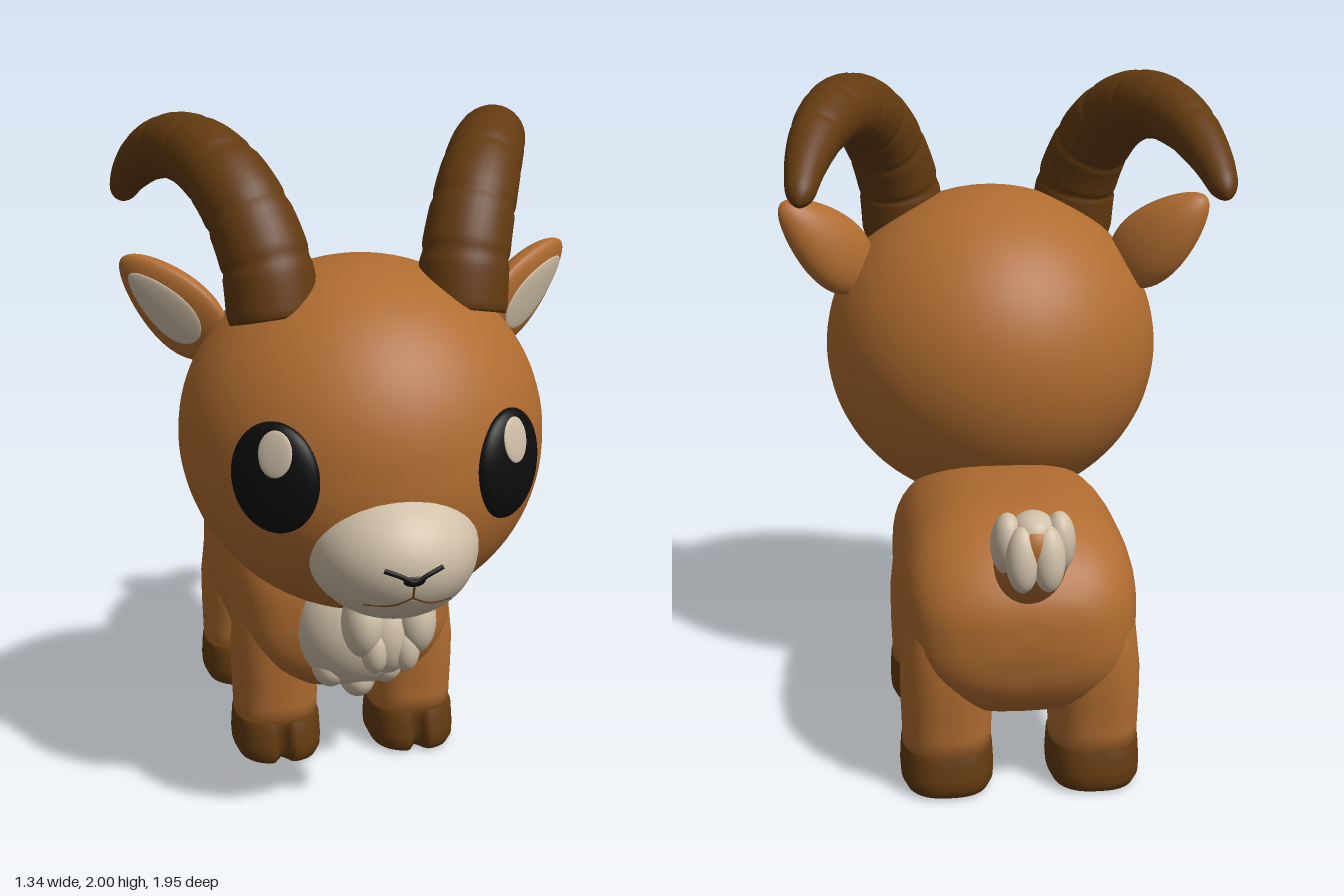
import * as THREE from 'three';

const mat = (name, color) => Object.assign(new THREE.MeshStandardMaterial({ color }), { name });

export function createModel() {
  const fur = mat('fur', 0xb06c30);
  const horn = mat('hornBrown', 0x633a10);
  const cream = mat('cream', 0xd0c0a8);
  const black = mat('black', 0x0d0d0d);

  const model = new THREE.Group();
  model.name = 'goat';

  const add = (name, geo, material, parent = model) => {
    const mesh = new THREE.Mesh(geo, material);
    mesh.name = name;
    parent.add(mesh);
    return mesh;
  };

  // Ellipsoid with centre and radii; tilt turns it about x
  const blob = (name, c, r, material, parent = model, tilt = 0) => {
    const m = add(name, new THREE.SphereGeometry(1, 40, 28).scale(...r), material, parent);
    m.position.set(...c);
    m.rotation.x = tilt;
  };

  // Closed skin over rings of points, each ring turning from x towards z as it climbs
  const skin = (rings) => {
    const n = rings[0].length, pos = [], idx = [];
    rings.forEach((ring) => ring.forEach((p) => pos.push(p.x, p.y, p.z)));
    for (let k = 0; k < rings.length - 1; k++) {
      for (let i = 0; i < n; i++) {
        const a = k * n + i, b = k * n + (i + 1) % n;
        idx.push(a, a + n, b, b, a + n, b + n);
      }
    }
    [0, rings.length - 1].forEach((k) => {
      const c = new THREE.Vector3();
      rings[k].forEach((p) => c.addScaledVector(p, 1 / n));
      const ci = pos.length / 3;
      pos.push(c.x, c.y, c.z);
      for (let i = 0; i < n; i++) {
        const a = k * n + i, b = k * n + (i + 1) % n;
        if (k === 0) idx.push(ci, a, b); else idx.push(ci, b, a);
      }
    });
    const g = new THREE.BufferGeometry();
    g.setAttribute('position', new THREE.Float32BufferAttribute(pos, 3));
    g.setIndex(idx);
    g.computeVertexNormals();
    return g;
  };

  // Superellipse ring at height y, with an optional cleft in front
  const ring = (y, cz, rx, rz, power, segs = 48, cleft = 0) => {
    const pts = [];
    for (let i = 0; i < segs; i++) {
      const a = (i / segs) * Math.PI * 2, c = Math.cos(a), s = Math.sin(a);
      const x = rx * Math.sign(c) * Math.pow(Math.abs(c), 2 / power);
      let z = rz * Math.sign(s) * Math.pow(Math.abs(s), 2 / power);
      if (s > 0) z -= cleft * Math.exp(-Math.pow(x / 0.018, 2));
      pts.push(new THREE.Vector3(x, y, cz + z));
    }
    return pts;
  };

  // Body: z, bottom, top, half width from rump to chest
  const stations = [
    [-0.772, 0.5, 0.53, 0.015], [-0.765, 0.44, 0.59, 0.12], [-0.74, 0.35, 0.65, 0.22],
    [-0.68, 0.27, 0.725, 0.295], [-0.58, 0.225, 0.79, 0.335], [-0.45, 0.21, 0.825, 0.346],
    [-0.2, 0.21, 0.825, 0.346], [0, 0.21, 0.8, 0.342], [0.15, 0.22, 0.76, 0.33],
    [0.25, 0.28, 0.7, 0.275], [0.3, 0.38, 0.64, 0.18], [0.32, 0.48, 0.56, 0.04],
  ];
  const span = new THREE.CatmullRomCurve3(
    stations.map(([z, b, t]) => new THREE.Vector3(z, b, t)), false, 'catmullrom');
  const wide = new THREE.CatmullRomCurve3(
    stations.map(([z, , , w]) => new THREE.Vector3(z, w, 0)), false, 'catmullrom');
  const bodyRings = [];
  for (let i = 0; i <= 66; i++) {
    const p = span.getPoint(i / 66), w = wide.getPoint(i / 66).y;
    bodyRings.push(ring(p.x, -(p.y + p.z) / 2, w, (p.z - p.y) / 2, 2.6));
  }
  add('body', skin(bodyRings).rotateX(Math.PI / 2), fur);

  // Legs with cloven hooves
  for (const [end, z] of [['front', 0.075], ['hind', -0.55]]) {
    for (const s of [-1, 1]) {
      const leg = new THREE.Group();
      leg.name = end + (s > 0 ? 'LeftLeg' : 'RightLeg');
      leg.position.set(s * 0.215, 0, z);
      model.add(leg);
      add('leg', skin([[0.11, 0.128, 0.142], [0.18, 0.13, 0.145], [0.26, 0.133, 0.152],
        [0.36, 0.133, 0.165], [0.48, 0.12, 0.16], [0.58, 0.09, 0.12]]
        .map(([y, rx, rz]) => ring(y, 0, rx, rz, 2.4))), fur, leg);
      add('hoof', skin([[0, 0.1, 0.13, 0.04], [0.006, 0.122, 0.15, 0.05], [0.03, 0.134, 0.163, 0.05],
        [0.06, 0.136, 0.162, 0.045], [0.1, 0.134, 0.155, 0.025], [0.13, 0.132, 0.149, 0],
        [0.14, 0.127, 0.142, 0]]
        .map(([y, rx, rz, cleft]) => ring(y, 0.008, rx, rz, 2.6, 96, cleft))), horn, leg);
    }
  }

  // Chest tuft with ragged lower lobes
  blob('chestPatch', [0, 0.47, 0.265], [0.185, 0.2, 0.165], cream);
  for (const [x, y] of [[0, 0.31], [-0.085, 0.35], [0.085, 0.35]]) {
    blob('chestTuft', [x, y, 0.3], [0.055, 0.065, 0.07], cream);
  }

  // Head: a ball with a fuller jaw
  const headGeo = new THREE.SphereGeometry(1, 64, 48);
  const hp = headGeo.attributes.position, v = new THREE.Vector3();
  for (let i = 0; i < hp.count; i++) {
    v.fromBufferAttribute(hp, i);
    v.multiplyScalar(1 + 0.1 * Math.max(0, -v.y) * Math.max(0, v.z));
    hp.setXYZ(i, v.x * 0.53, v.y * 0.51, v.z * 0.52);
  }
  headGeo.computeVertexNormals();
  add('head', headGeo, fur).position.set(0, 1.1, 0.33);

  // Muzzle, nose and mouth lines laid on its surface
  blob('muzzle', [0, 0.87, 0.7], [0.242, 0.2, 0.27], cream);
  const onMuzzle = ([x, y]) => new THREE.Vector3(x, y,
    0.7 + 0.27 * Math.sqrt(1 - Math.pow(x / 0.242, 2) - Math.pow((y - 0.87) / 0.2, 2)));
  const line = (name, pts, r, material) => add(name, new THREE.TubeGeometry(
    new THREE.CatmullRomCurve3(pts.map(onMuzzle)), 24, r, 8), material);
  line('noseFold', [[-0.08, 0.882], [-0.04, 0.868], [0, 0.85], [0.04, 0.868], [0.08, 0.882]], 0.007, black);
  blob('nose', [0, 0.852, 0.962], [0.032, 0.017, 0.012], black);
  line('lipLine', [[0, 0.845], [0, 0.82], [0, 0.8]], 0.003, horn);
  for (const s of [-1, 1]) {
    line('mouthLine', [[0, 0.8], [s * 0.05, 0.775], [s * 0.12, 0.768]], 0.003, horn);
  }

  // Beard
  blob('beard', [0, 0.59, 0.675], [0.075, 0.115, 0.075], cream);
  for (const s of [-1, 1]) {
    blob('beardLobe', [s * 0.075, 0.635, 0.69], [0.06, 0.1, 0.075], cream);
    blob('beardTip', [s * 0.045, 0.56, 0.71], [0.04, 0.07, 0.045], cream);
  }

  // Tapering leaf, flatter in front
  const leaf = (w, l, d, front) => {
    const g = new THREE.SphereGeometry(1, 36, 28), p = g.attributes.position;
    for (let i = 0; i < p.count; i++) {
      const y = p.getY(i), z = p.getZ(i);
      p.setXYZ(i, p.getX(i) * w * (1 - 0.3 * y), y * l, z * d * (z > 0 ? front : 1));
    }
    g.computeVertexNormals();
    return g;
  };

  for (const s of [-1, 1]) {
    const side = s > 0 ? 'left' : 'right';

    // Eye with highlight
    const eye = new THREE.Group();
    eye.name = side + 'Eye';
    eye.position.set(s * 0.325, 1.085, 0.72);
    eye.rotation.y = s * 0.68;
    model.add(eye);
    blob('eyeball', [0, 0, 0], [0.135, 0.156, 0.05], black, eye);
    blob('eyeHighlight', [-s * 0.02, 0.078, 0.039], [0.052, 0.064, 0.009], cream, eye, -0.17);

    // Ear with a pale inner face
    const u = new THREE.Vector3(s * 0.68, 0.68, -0.28).normalize();
    const n = new THREE.Vector3(s * 0.65, -0.15, 0.75);
    n.addScaledVector(u, -n.dot(u)).normalize();
    const ear = new THREE.Group();
    ear.name = side + 'Ear';
    ear.applyMatrix4(new THREE.Matrix4().makeBasis(new THREE.Vector3().crossVectors(u, n), u, n));
    ear.position.set(s * 0.53, 1.462, 0.2);
    model.add(ear);
    add('earShell', leaf(0.115, 0.195, 0.075, 0.45), fur, ear);
    add('innerEar', leaf(0.068, 0.135, 0.008, 1), cream, ear).position.set(0, 0.01, 0.031);

    // Horn: tapered tube swept back, with ring grooves
    const path = new THREE.CatmullRomCurve3([
      [0.27, 1.46, 0.43], [0.29, 1.62, 0.4], [0.345, 1.78, 0.31], [0.41, 1.87, 0.18],
      [0.475, 1.895, 0.03], [0.535, 1.86, -0.13], [0.58, 1.78, -0.29], [0.602, 1.69, -0.42],
    ].map(([x, y, z]) => new THREE.Vector3(s * x, y, z)));
    const steps = 120, frames = path.computeFrenetFrames(steps), rings = [];
    for (let k = 0; k <= steps; k++) {
      const t = k / steps, c = path.getPointAt(t), pts = [];
      const offGroove = (((t * 8 + 0.5) % 1) - 0.5) / 0.09;
      const groove = t < 0.8 ? 0.04 * Math.exp(-offGroove * offGroove) : 0;
      const tip = Math.max(0, (t - 0.95) / 0.0505);
      const r = (0.133 - 0.04 * t - 0.058 * t * t * t) * (1 - groove) * Math.sqrt(1 - tip * tip);
      for (let i = 0; i < 32; i++) {
        const a = -(i / 32) * Math.PI * 2;
        pts.push(c.clone().addScaledVector(frames.normals[k], r * Math.cos(a))
          .addScaledVector(frames.binormals[k], r * Math.sin(a)));
      }
      rings.push(pts);
    }
    add(side + 'Horn', skin(rings), horn);
  }

  // Tail with pale tufts at the tip
  blob('tail', [0, 0.77, -0.81], [0.1, 0.18, 0.1], fur, model, -0.8);
  for (const s of [-1, 1]) {
    blob('tailSideTuft', [s * 0.07, 0.845, -0.865], [0.045, 0.09, 0.06], cream, model, -0.2);
    blob('tailBackTuft', [s * 0.035, 0.82, -0.925], [0.045, 0.09, 0.045], cream, model, 0.15);
  }
  blob('tailTopTuft', [0, 0.885, -0.87], [0.06, 0.05, 0.07], cream);

  return model;
}
